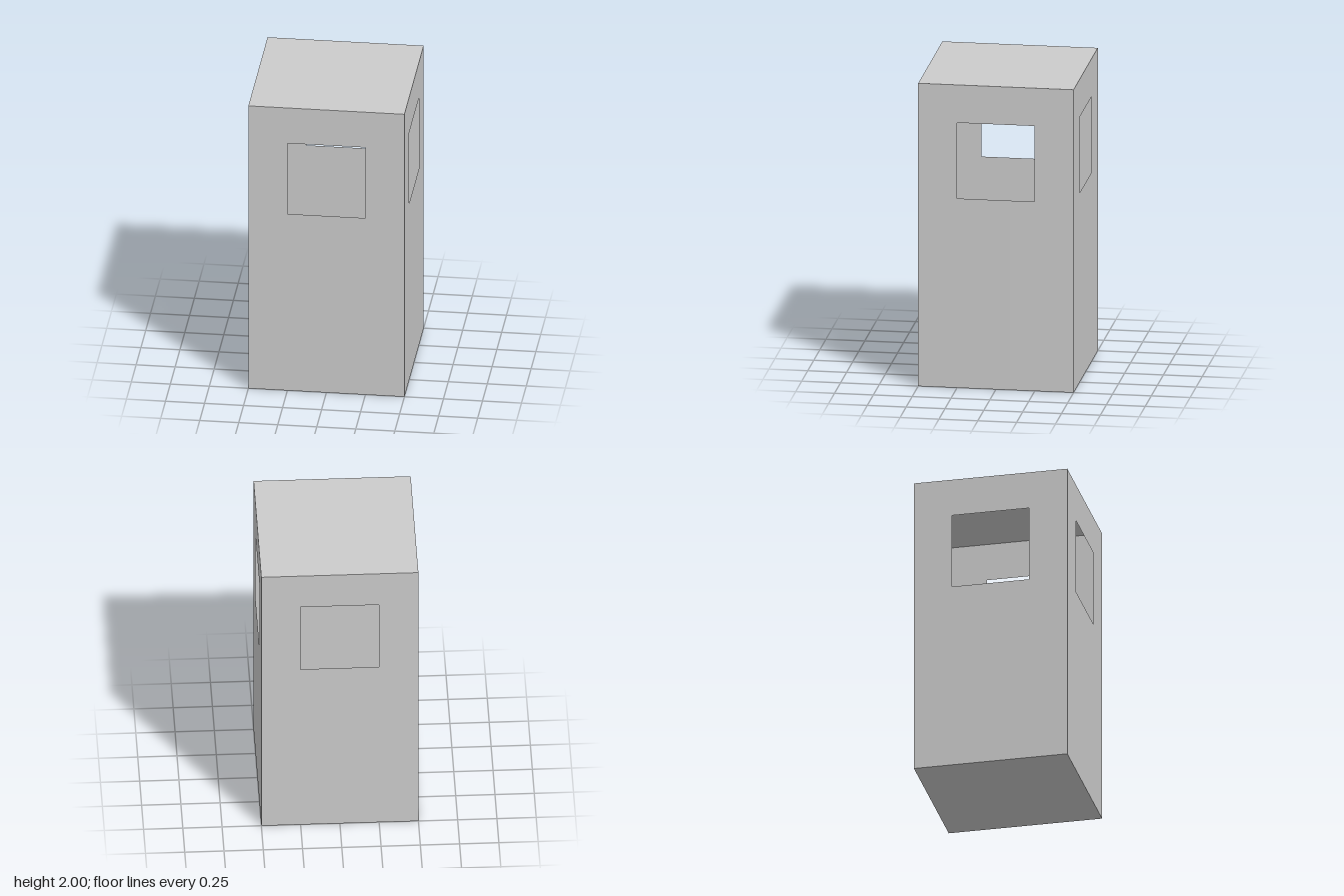
import * as THREE from 'three';

const WIDTH = 1, HEIGHT = 2;
const WINDOW = 0.5, SILL = 1.25;

// Rectangle outline centred on x, rising from y
function rect(PathType, width, y, height) {
  const w = width / 2;
  return new PathType([
    new THREE.Vector2(-w, y),
    new THREE.Vector2(w, y),
    new THREE.Vector2(w, y + height),
    new THREE.Vector2(-w, y + height),
  ]);
}

export function createModel() {
  const model = new THREE.Group();
  model.name = 'hollowTower';
  const material = new THREE.MeshStandardMaterial({ color: 0xcccccc, side: THREE.DoubleSide });

  // Four thin walls, each with a square window
  const wallShape = rect(THREE.Shape, WIDTH, 0, HEIGHT);
  wallShape.holes.push(rect(THREE.Path, WINDOW, SILL, WINDOW));
  const wallGeometry = new THREE.ShapeGeometry(wallShape).translate(0, 0, WIDTH / 2);
  ['frontWall', 'leftWall', 'backWall', 'rightWall'].forEach((name, i) => {
    const wall = new THREE.Mesh(wallGeometry, material);
    wall.name = name;
    wall.rotation.y = i * Math.PI / 2;
    model.add(wall);
  });

  // Flat roof and floor close the ends
  const slabGeometry = new THREE.PlaneGeometry(WIDTH, WIDTH);
  for (const [name, y, tilt] of [['roof', HEIGHT, -1], ['floor', 0, 1]]) {
    const slab = new THREE.Mesh(slabGeometry, material);
    slab.name = name;
    slab.position.y = y;
    slab.rotation.x = tilt * Math.PI / 2;
    model.add(slab);
  }

  return model;
}
